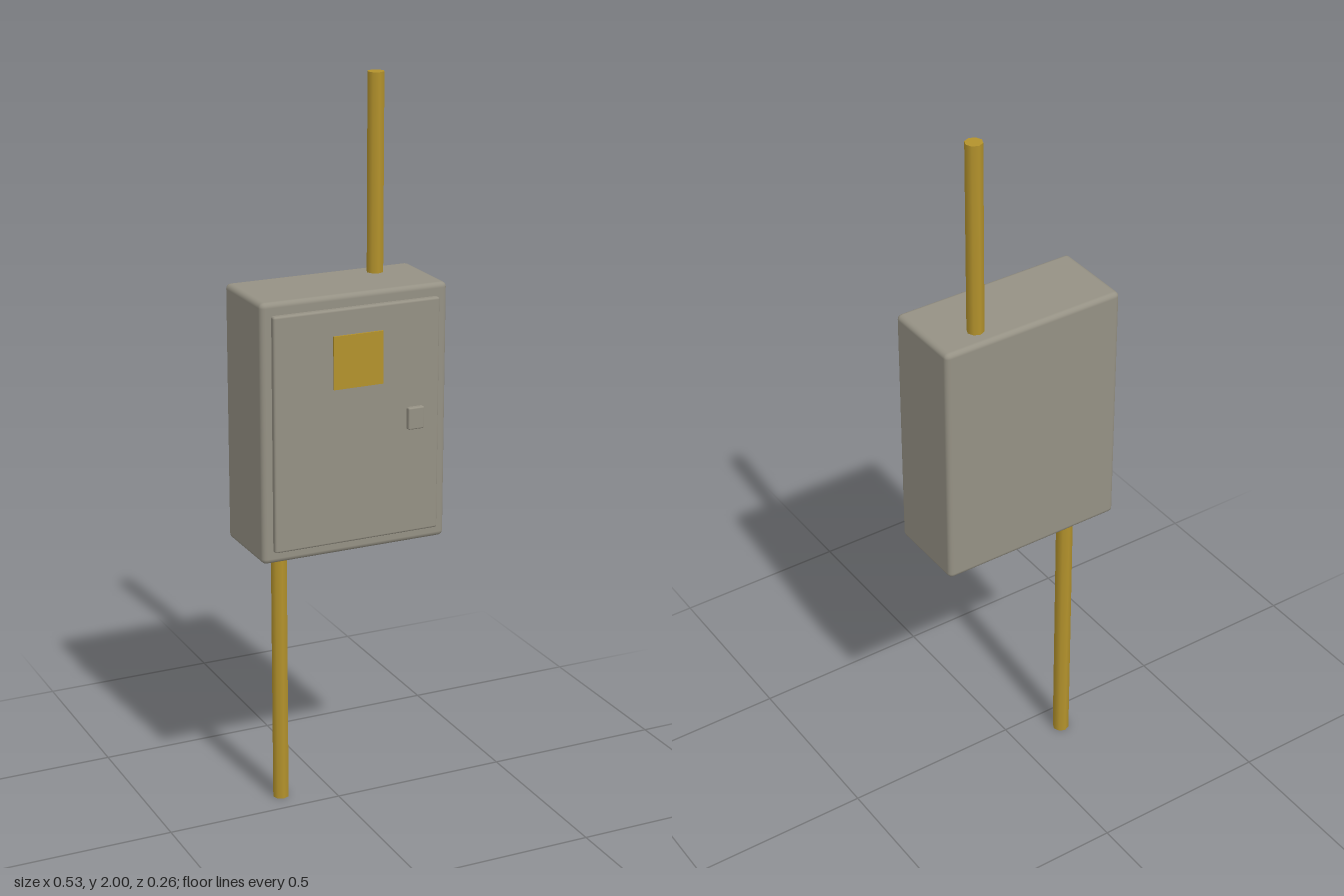
import * as THREE from 'three';
import { RoundedBoxGeometry } from 'three/addons/geometries/RoundedBoxGeometry.js';

export function createModel() {
  const group = new THREE.Group();
  const grey = new THREE.MeshStandardMaterial({ color: 0x959184 });
  grey.name = 'warm grey paint';
  const yellow = new THREE.MeshStandardMaterial({ color: 0xb3922c });
  yellow.name = 'ochre yellow';

  const add = (name, geometry, material, x, y, z) => {
    const mesh = new THREE.Mesh(geometry, material);
    mesh.name = name;
    mesh.position.set(x, y, z);
    group.add(mesh);
  };
  // Rounded box given by its limits along each axis
  const box = (name, [x0, x1], [y0, y1], [z0, z1], radius) =>
    add(name, new RoundedBoxGeometry(x1 - x0, y1 - y0, z1 - z0, 2, radius), grey,
      (x0 + x1) / 2, (y0 + y1) / 2, (z0 + z1) / 2);
  // Eight-sided conduit between two heights
  const conduit = (name, x, y0, y1) =>
    add(name, new THREE.CylinderGeometry(0.023, 0.023, y1 - y0, 8), yellow, x, (y0 + y1) / 2, -0.074);

  // Cabinet with its raised door and latch
  box('cabinet', [-0.264, 0.264], [0.77, 1.472], [-0.132, 0.102], 0.014);
  box('door', [-0.235, 0.235], [0.803, 1.438], [0.09, 0.117], 0.006);
  box('latch', [0.141, 0.187], [1.092, 1.152], [0.108, 0.13], 0.004);

  // Warning plate on the door
  add('warningPlate', new THREE.BoxGeometry(0.14, 0.142, 0.007), yellow, 0, 1.298, 0.1187);

  // Conduits above and below the cabinet
  conduit('upperConduit', 0.14, 1.46, 2);
  conduit('lowerConduit', -0.143, 0, 0.78);

  return group;
}
